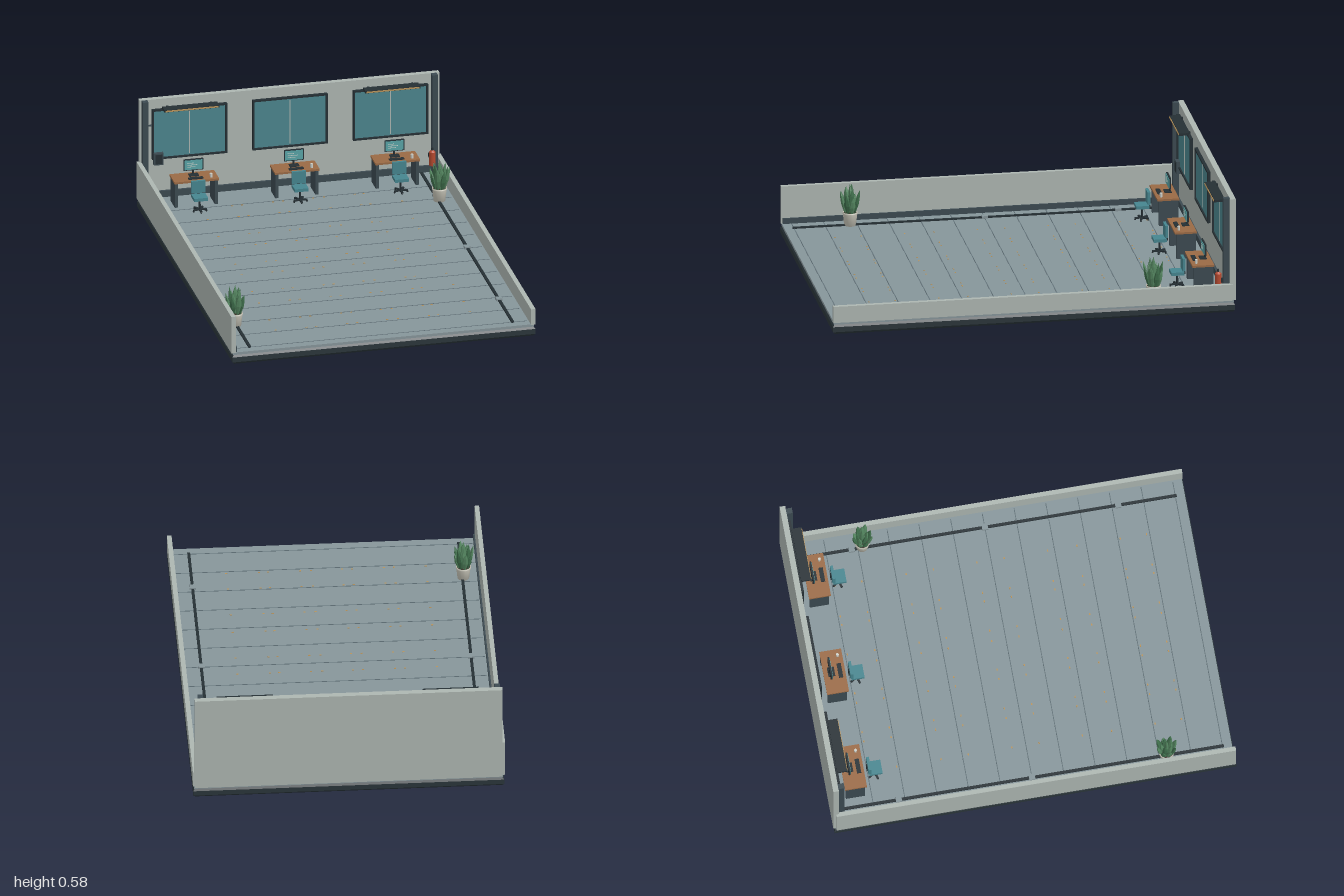
import * as THREE from 'three';

const mat = (color, flat = false) => new THREE.MeshStandardMaterial({ color, flatShading: flat, side: THREE.FrontSide });
const M = {
  base: mat(0x2a353a), dark: mat(0x3c4a51), trim: mat(0x252f34), floor: mat(0x86959a), seam: mat(0x5f6f76),
  wall: mat(0xadb6b1), glass: mat(0x4b858d), screen: mat(0x58a3a6), seat: mat(0x46858f), wood: mat(0x9a6a45),
  amber: mat(0xb8935a), pale: mat(0xcfd2cb), pot: mat(0xc9c7ba), red: mat(0xb5492f),
  leafA: mat(0x3f6f4c, true), leafB: mat(0x548660, true), soil: mat(0x3a2f28),
};
const FLOOR = 0.062;

function add(parent, name, geo, material, x = 0, y = 0, z = 0) {
  const m = new THREE.Mesh(geo, material);
  m.name = name;
  m.position.set(x, y, z);
  parent.add(m);
  return m;
}
// Box given by its minimum and maximum on each axis
function box(parent, name, material, x0, x1, y0, y1, z0, z1) {
  return add(parent, name, new THREE.BoxGeometry(x1 - x0, y1 - y0, z1 - z0), material,
    (x0 + x1) / 2, (y0 + y1) / 2, (z0 + z1) / 2);
}
const cyl = (parent, name, material, rTop, rBottom, y0, y1, x = 0, z = 0, sides = 16) =>
  add(parent, name, new THREE.CylinderGeometry(rTop, rBottom, y1 - y0, sides), material, x, (y0 + y1) / 2, z);
function group(parent, name, x = 0, y = 0, z = 0) {
  const g = new THREE.Group();
  g.name = name;
  g.position.set(x, y, z);
  parent.add(g);
  return g;
}

function buildBase(root) {
  const g = group(root, 'base');
  // Chamfered plinth
  const w = 0.75, d = 0.985, s = new THREE.Shape();
  s.moveTo(-w, -d).lineTo(w, -d).lineTo(w, d).lineTo(-w, d).closePath();
  const geo = new THREE.ExtrudeGeometry(s, { depth: 0.026, bevelEnabled: true, bevelThickness: 0.012, bevelSize: 0.01, bevelSegments: 1 });
  geo.rotateX(-Math.PI / 2).translate(0, 0.012, 0);
  add(g, 'plinth', geo, M.base);
  box(g, 'floor', M.floor, -0.755, 0.755, 0.049, FLOOR, -0.99, 0.99);
  // Seams across the floor
  for (let i = 0; i < 12; i++) {
    const z = -0.786 + i * 0.1572;
    box(g, 'floorSeam', M.seam, -0.73, 0.73, FLOOR - 0.002, FLOOR + 0.0012, z - 0.002, z + 0.002);
  }
  // Small floor markers in pairs
  for (const z of [-0.775, -0.64, -0.42, -0.285, -0.07, 0.065, 0.28, 0.425, 0.64, 0.77])
    for (const x of [-0.49, -0.335, -0.285, -0.13, -0.08, 0.07, 0.125, 0.28, 0.325, 0.485])
      box(g, 'floorMarker', M.amber, x - 0.005, x + 0.005, FLOOR - 0.002, FLOOR + 0.002, z - 0.003, z + 0.003);
  // Long rails with clamps
  for (const x of [-0.662, 0.657]) {
    box(g, 'floorRail', M.trim, x - 0.007, x + 0.007, FLOOR - 0.002, FLOOR + 0.007, -0.95, 0.95);
    for (const z of [-0.66, 0, 0.66])
      box(g, 'railClamp', M.floor, x - 0.015, x + 0.015, FLOOR - 0.002, FLOOR + 0.013, z - 0.015, z + 0.015);
  }
}

function buildWalls(root) {
  const g = group(root, 'walls');
  box(g, 'backWall', M.wall, -0.752, 0.752, 0.06, 0.58, -1, -0.972);
  box(g, 'rightLowWall', M.wall, -0.765, -0.743, 0.06, 0.253, -0.985, 0.993);
  box(g, 'leftLowWall', M.wall, 0.738, 0.761, 0.06, 0.143, -0.985, 0.993);
  box(g, 'backSkirting', M.dark, -0.74, 0.735, FLOOR, 0.095, -0.973, -0.96);
  box(g, 'sideSkirting', M.dark, -0.744, -0.735, FLOOR, 0.09, -0.96, 0.985);
  for (const x of [-0.728, 0.723])
    box(g, 'cornerColumn', M.dark, x - 0.014, x + 0.014, FLOOR, 0.58, -0.973, -0.942);
}

function buildWindow(root, x, hasLight) {
  const g = group(root, 'window', x, 0.398, -0.972);
  const w = 0.188, h = 0.132, t = 0.009;
  for (const s of [-1, 1]) {
    box(g, 'frameSide', M.trim, s * (w - t / 2) - t / 2, s * (w - t / 2) + t / 2, -h, h, 0, 0.016);
    box(g, 'frameRail', M.trim, -w, w, s * (h - t / 2) - t / 2, s * (h - t / 2) + t / 2, 0, 0.016);
  }
  box(g, 'glass', M.glass, -w + t, w - t, -h + t, h - t, 0, 0.008);
  box(g, 'mullion', M.wall, -0.002, 0.002, -h + t + 0.008, h - t - 0.008, 0.006, 0.011);
  if (hasLight) {
    box(g, 'lightHousing', M.trim, -0.138, 0.138, 0.133, 0.145, 0.012, 0.06);
    box(g, 'lightStrip', M.amber, -0.132, 0.132, 0.135, 0.142, 0.058, 0.063);
    for (const s of [-1, 1])
      box(g, 'lightBracket', M.trim, s * 0.11 - 0.006, s * 0.11 + 0.006, 0.133, 0.143, 0, 0.02);
  }
}

function buildDesk(root, x) {
  const g = group(root, 'desk', x, 0, -0.863);
  box(g, 'deskTop', M.wood, -0.112, 0.112, 0.19, 0.2, -0.054, 0.054);
  for (const s of [-1, 1])
    box(g, 'deskSide', M.dark, s * 0.1 - 0.008, s * 0.1 + 0.008, FLOOR, 0.19, -0.05, 0.045);
  // Monitor with text bars
  const m = group(g, 'monitor', 0, 0.2, -0.02);
  box(m, 'monitorFoot', M.trim, -0.024, 0.024, 0, 0.004, -0.012, 0.022);
  box(m, 'monitorStem', M.trim, -0.004, 0.004, 0, 0.04, -0.01, -0.003);
  box(m, 'monitorCase', M.trim, -0.049, 0.049, 0.026, 0.084, -0.005, 0.004);
  box(m, 'screen', M.screen, -0.045, 0.045, 0.03, 0.08, 0.003, 0.006);
  [0.03, 0.05, 0.04].forEach((len, i) =>
    box(m, 'screenLine', M.pale, -0.032, -0.032 + len, 0.064 - i * 0.01, 0.0665 - i * 0.01, 0.005, 0.007));
  box(g, 'keyboard', M.trim, -0.037, 0.037, 0.2, 0.205, 0.018, 0.039);
  cyl(g, 'mug', M.pale, 0.007, 0.0065, 0.2, 0.221, 0.077, 0.03, 12);
}

function buildChair(root, x) {
  const g = group(root, 'chair', x, 0, -0.752);
  box(g, 'seat', M.seat, -0.035, 0.035, 0.127, 0.143, -0.03, 0.034);
  box(g, 'backrest', M.seat, -0.035, 0.035, 0.148, 0.211, -0.036, -0.022);
  box(g, 'backSupport', M.trim, -0.007, 0.007, 0.125, 0.19, -0.04, -0.034);
  cyl(g, 'chairPost', M.trim, 0.005, 0.006, 0.072, 0.128);
  // Five-armed foot
  for (let i = 0; i < 5; i++) {
    const a = i * Math.PI * 2 / 5;
    const arm = group(g, 'footArm');
    arm.rotation.y = a;
    box(arm, 'arm', M.trim, -0.005, 0.005, 0.069, 0.076, 0, 0.036);
    add(arm, 'caster', new THREE.SphereGeometry(0.005, 8, 6), M.trim, 0, FLOOR + 0.005, 0.034);
  }
}

function buildPlant(root, x, z, turn) {
  const g = group(root, 'plant', x, FLOOR, z);
  g.rotation.y = turn;
  const profile = [[0, 0], [0.029, 0], [0.036, 0.06], [0.038, 0.06], [0.038, 0.068], [0.033, 0.068], [0.033, 0.06], [0, 0.06]];
  const potMesh = add(g, 'pot', new THREE.LatheGeometry(profile.map(p => new THREE.Vector2(...p)), 12), M.pot);
  potMesh.material = M.pot;
  cyl(g, 'soil', M.soil, 0.033, 0.033, 0.055, 0.063);
  // Pointed, spindle-shaped leaf growing from its base
  const leafProfile = [[0, 0], [0.5, 0.2], [1, 0.5], [0.7, 0.78], [0, 1]].map(p => new THREE.Vector2(...p));
  const ring = (count, radius, tilt, height, offset) => {
    for (let i = 0; i < count; i++) {
      const a = offset + i * Math.PI * 2 / count;
      const stem = group(g, 'leafStem');
      stem.rotation.y = a;
      const leaf = add(stem, 'leaf', new THREE.LatheGeometry(leafProfile, 6), i % 2 ? M.leafA : M.leafB, 0, 0.05, radius);
      leaf.scale.set(0.016, height * (1 - 0.12 * (i % 3)), 0.01);
      leaf.rotation.x = tilt;
    }
  };
  ring(1, 0, 0, 0.165, 0);
  ring(5, 0.014, 0.1, 0.155, 0.3);
  ring(8, 0.022, 0.22, 0.138, 0);
}

function buildFixtures(root) {
  // Wall extinguisher
  const e = group(root, 'extinguisher', 0.703, 0, -0.92);
  cyl(e, 'tank', M.red, 0.016, 0.016, 0.115, 0.185);
  cyl(e, 'shoulder', M.red, 0.006, 0.016, 0.185, 0.195);
  cyl(e, 'valve', M.trim, 0.006, 0.006, 0.195, 0.207);
  box(e, 'bracket', M.trim, -0.008, 0.008, 0.14, 0.16, -0.05, -0.012);
  // Control box
  const c = group(root, 'controlBox');
  box(c, 'boxBody', M.dark, -0.686, -0.638, 0.24, 0.302, -0.973, -0.945);
  box(c, 'boxPanel', M.trim, -0.68, -0.644, 0.247, 0.295, -0.946, -0.943);
  box(c, 'wallConduit', M.dark, -0.715, -0.69, 0.443, 0.448, -0.973, -0.962);
}

export function createModel() {
  const root = new THREE.Group();
  root.name = 'officeRoom';
  buildBase(root);
  buildWalls(root);
  for (const x of [-0.504, 0, 0.504]) {
    buildWindow(root, x, x !== 0);
    buildDesk(root, x);
    buildChair(root, x);
  }
  buildPlant(root, -0.667, 0.665, 0.2);
  buildPlant(root, 0.664, -0.607, 1.1);
  buildFixtures(root);
  return root;
}
